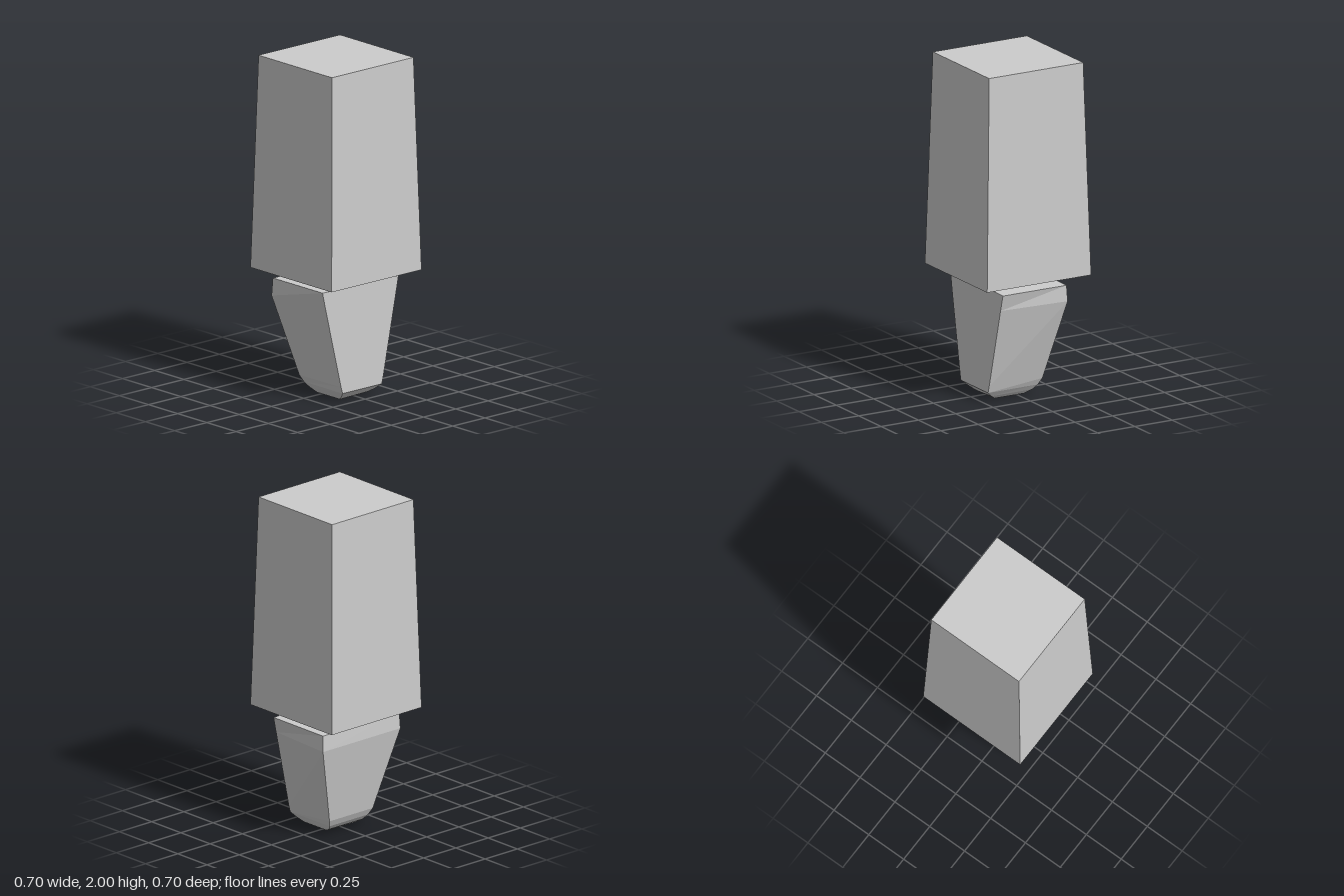
import * as THREE from 'three';

const material = new THREE.MeshStandardMaterial({ color: 0xcccccc, flatShading: true });

// Closed four-sided loft; sections run bottom to top:
// [y, half width at front, half width at back, front z, back z, rise per unit of x]
function loft(name, sections) {
  const rings = sections.map(([y, xf, xb, zf, zb, slant = 0]) =>
    [[xf, zf], [xb, zb], [-xb, zb], [-xf, zf]].map(([x, z]) => [x, y + slant * x, z]));
  const pos = [];
  const quad = (a, b, c, d) => pos.push(...a, ...b, ...c, ...a, ...c, ...d);
  for (let r = 0; r < rings.length - 1; r++) {
    for (let i = 0; i < 4; i++) {
      const j = (i + 1) % 4;
      quad(rings[r][i], rings[r][j], rings[r + 1][j], rings[r + 1][i]);
    }
  }
  quad(...[...rings[0]].reverse());
  quad(...rings[rings.length - 1]);
  const geometry = new THREE.BufferGeometry();
  geometry.setAttribute('position', new THREE.Float32BufferAttribute(pos, 3));
  geometry.computeVertexNormals();
  const mesh = new THREE.Mesh(geometry, material);
  mesh.name = name;
  return mesh;
}

export function createModel() {
  const group = new THREE.Group();
  group.name = 'taperedPost';

  // Tall block, slightly narrower at the top, with a shallow bevelled underside
  group.add(loft('upperBlock', [
    [0.718, 0.27, 0.27, 0.25, -0.23, 0.01],
    [0.73, 0.348, 0.348, 0.348, -0.348],
    [2, 0.315, 0.315, 0.315, -0.315],
  ]));

  // Separate tapering tip with a rounded lower end
  group.add(loft('lowerTip', [
    [0.005, 0.11, 0.11, 0.155, -0.04, 0.02],
    [0.03, 0.13, 0.13, 0.19, -0.085],
    [0.06, 0.152, 0.15, 0.225, -0.11],
    [0.1, 0.163, 0.168, 0.224, -0.13],
    [0.58, 0.272, 0.3, 0.213, -0.22],
    [0.68, 0.294, 0.295, 0.21, -0.215, -0.017],
  ]));

  return group;
}
